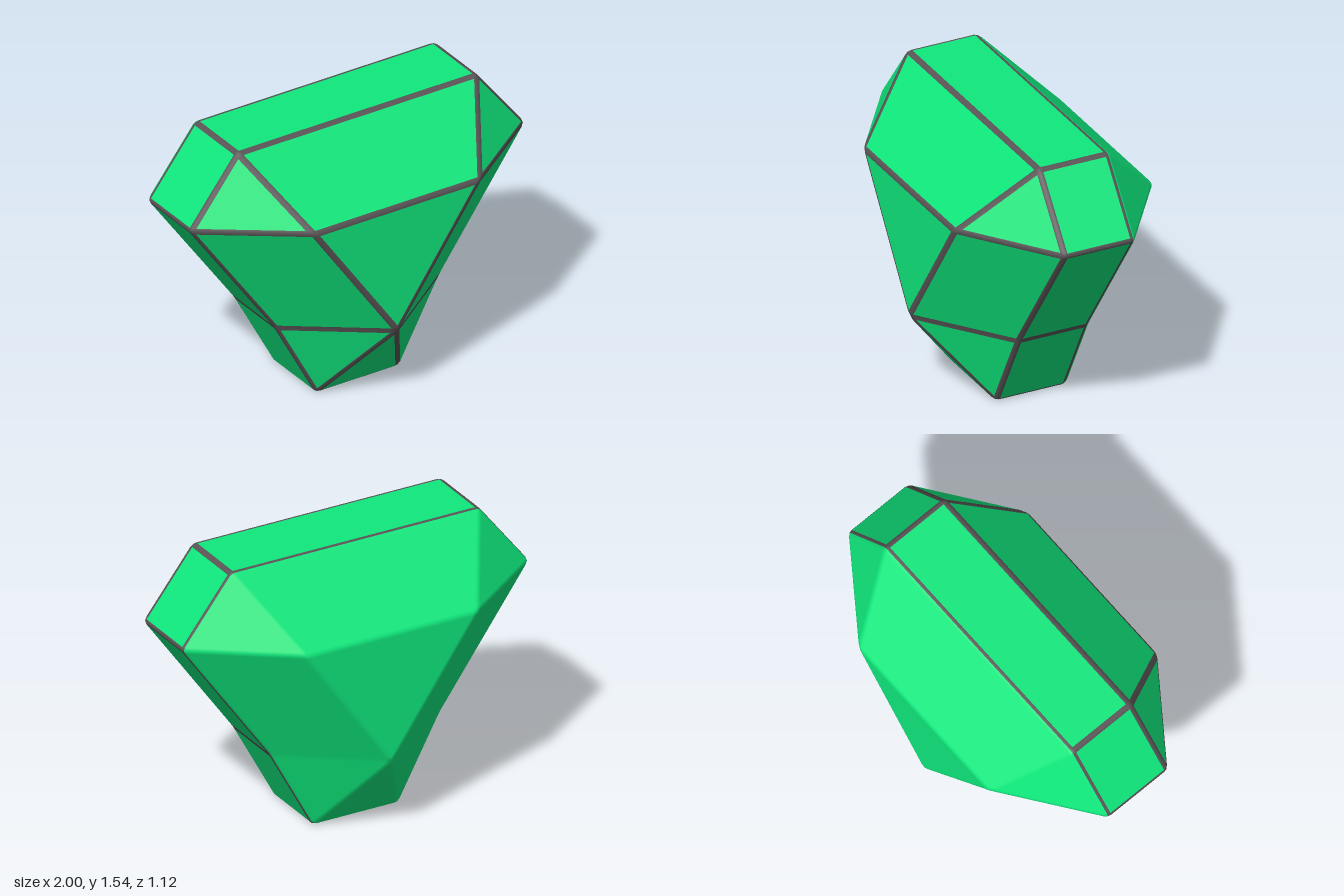
import * as THREE from 'three';

const BEVEL = 0.018; // inset of every facet from its edges
const ROUND = 0.45; // how far the bevel's middle swells towards the sharp edge
const v = (x, y, z) => new THREE.Vector3(x, y, z);
const key = (p) => p.toArray().map((n) => (n || 0).toFixed(3)).join();
const mean = (list) => list.reduce((sum, p) => sum.add(p), v(0, 0, 0)).divideScalar(list.length);

// Sharp facets of the cut gem, as outward-facing corner loops
function makeFacets() {
  const z = 0.195;
  const T = v(0.72, 1.537, z), G = v(1.006, 1.17, z), W = v(0.495, 0.455, z), B = v(0.248, 0, z);
  const P = v(0.5, 1.17, 0.56), K = v(0, 0.455, 0.56);
  const at = (p, sx, sz) => v(p.x * sx || 0, p.y, p.z * sz);
  const facets = [];
  const add = (points, back = false) => {
    const normal = v(0, 0, 0);
    points.forEach((p, i) => normal.add(v(0, 0, 0).crossVectors(p, points[(i + 1) % points.length])));
    normal.normalize();
    if (normal.dot(mean(points).sub(v(0, 0.8, 0))) < 0) {
      points.reverse();
      normal.negate();
    }
    facets.push({ points, normal, back });
  };
  for (const f of [1, -1]) {
    const back = f < 0;
    // Middle facets of the crown and the point
    add([at(T, 1, f), at(T, -1, f), at(P, -1, f), at(P, 1, f)], back);
    add([at(P, 1, f), at(P, -1, f), at(K, 1, f)], back);
    add([at(K, 1, f), at(B, 1, f), at(B, -1, f)], back);
    // Slanted facets on both flanks
    for (const s of [1, -1])
      for (const loop of [[T, G, P], [P, G, W, K], [W, B, K]]) add(loop.map((p) => at(p, s, f)), back);
  }
  // Flat rim all round, with the top table and the base
  const rim = (a, sa, b, sb) => add([at(a, sa, 1), at(b, sb, 1), at(b, sb, -1), at(a, sa, -1)]);
  for (const s of [1, -1]) {
    rim(T, s, G, s);
    rim(G, s, W, s);
    rim(W, s, B, s);
  }
  rim(T, 1, T, -1);
  rim(B, 1, B, -1);
  return facets;
}

// Collects fans of points with smooth normals
class Surface {
  positions = [];
  normals = [];
  fan(points) {
    for (let i = 1; i < points.length - 1; i++)
      for (const q of [points[0], points[i], points[i + 1]]) {
        this.positions.push(...q.p.toArray());
        this.normals.push(...q.n.toArray());
      }
  }
  mesh(name, color) {
    const geometry = new THREE.BufferGeometry();
    geometry.setAttribute('position', new THREE.Float32BufferAttribute(this.positions, 3));
    geometry.setAttribute('normal', new THREE.Float32BufferAttribute(this.normals, 3));
    const mesh = new THREE.Mesh(geometry, new THREE.MeshStandardMaterial({ color }));
    mesh.name = name;
    return mesh;
  }
}

export function createModel() {
  const facets = makeFacets();
  const groups = new Map(); // inset corners gathered per edge end and per vertex
  const gather = (k, corner) => groups.set(k, [...(groups.get(k) ?? []), corner]);

  // Inset the corners of each facet
  for (const facet of facets) {
    const { points, normal } = facet;
    const count = points.length;
    facet.corners = points.map((p, i) => {
      const next = points[(i + 1) % count], prev = points[(i + count - 1) % count];
      const a = next.clone().sub(p).normalize(), b = prev.clone().sub(p).normalize();
      const inset = a.clone().add(b).multiplyScalar(BEVEL / Math.sin(a.angleTo(b)));
      const corner = { p: p.clone().add(inset), n: normal };
      gather(key(p), corner);
      gather(key(p) + '|' + key(next), corner);
      gather(key(p) + '|' + key(prev), corner);
      return corner;
    });
  }

  // Swollen middle of a bevel at one end of an edge, and of a whole vertex
  const blend = (list, target) => {
    const p = mean(list.map((c) => c.p));
    return { p: p.clone().lerp(target(p), ROUND), n: mean(list.map((c) => c.n)).normalize() };
  };
  const edgeMiddle = (a, b) => blend(groups.get(key(a) + '|' + key(b)),
    (p) => new THREE.Line3(a, b).closestPointToPoint(p, false, v(0, 0, 0)));
  const tip = (a) => blend(groups.get(key(a)), () => a);

  const stone = new Surface(), trim = new Surface();
  for (const { points, corners, back } of facets) {
    stone.fan(corners);
    const bevel = back ? stone : trim; // the back keeps its bevels in the stone's colour
    points.forEach((p, i) => {
      const j = (i + 1) % points.length;
      const prev = points[(i + points.length - 1) % points.length];
      const start = edgeMiddle(p, points[j]);
      bevel.fan([corners[i], start, edgeMiddle(points[j], p), corners[j]]);
      bevel.fan([tip(p), start, corners[i], edgeMiddle(p, prev)]);
    });
  }

  const model = new THREE.Group();
  model.name = 'gem';
  model.add(stone.mesh('stone', 0x0fe87c), trim.mesh('edgeTrim', 0x5a5456));
  return model;
}
